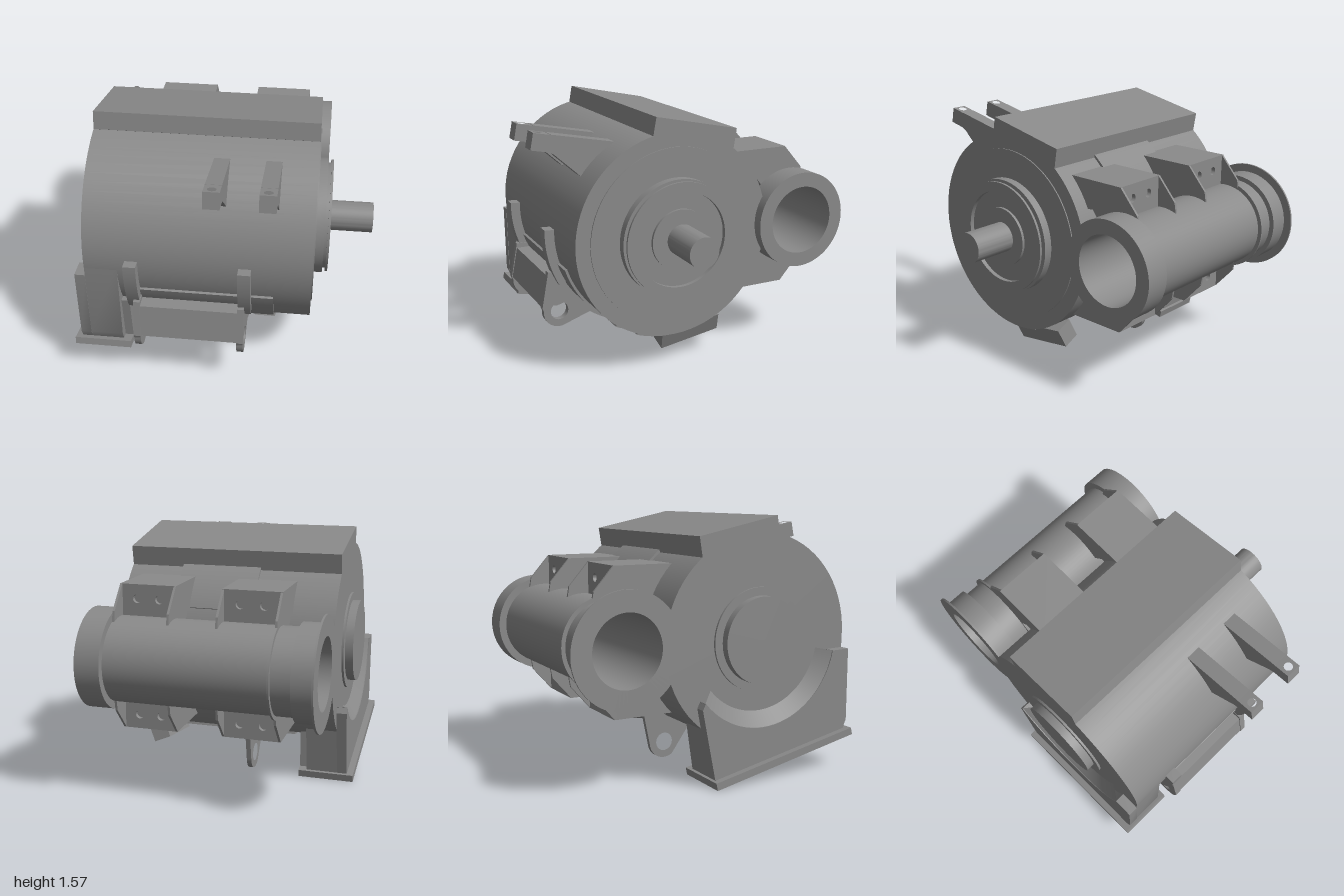
import * as THREE from 'three';
import { toCreasedNormals } from 'three/addons/utils/BufferGeometryUtils.js';

const AXIS_Y = 0.85, BODY_Z = 0.2, TUBE_Z = -0.66;

export function createModel() {
  const model = new THREE.Group();
  const material = new THREE.MeshStandardMaterial({ color: 0x8a8a8a });

  function add(name, geometry, x = 0, y = 0, z = 0) {
    const mesh = new THREE.Mesh(toCreasedNormals(geometry, 0.5), material);
    mesh.name = name;
    mesh.position.set(x, y, z);
    model.add(mesh);
    return mesh;
  }

  // Points on an arc, as [z, y]
  function arc(cz, cy, r, a0, a1, n = 20) {
    return Array.from({ length: n + 1 }, (_, i) => {
      const a = a0 + (a1 - a0) * i / n;
      return [cz + r * Math.cos(a), cy + r * Math.sin(a)];
    });
  }

  // Side profile given as [z, y], extruded along x; optional hole [z, y, r]
  function side(name, points, x0, x1, hole) {
    const shape = new THREE.Shape(points.map(([z, y]) => new THREE.Vector2(-z, y)));
    if (hole) {
      const path = new THREE.Path();
      path.absarc(-hole[0], hole[1], hole[2], 0, Math.PI * 2, true);
      shape.holes.push(path);
    }
    const geometry = new THREE.ExtrudeGeometry(shape, { depth: x1 - x0, bevelEnabled: false, curveSegments: 16 });
    geometry.rotateY(Math.PI / 2);
    return add(name, geometry, x0);
  }

  // Profile [radius, x] turned around an axis parallel to x
  function turned(name, points, z, start = 0, length = Math.PI * 2) {
    const geometry = new THREE.LatheGeometry(points.map(([r, x]) => new THREE.Vector2(r, x)), 72, start, length);
    geometry.rotateZ(-Math.PI / 2);
    return add(name, geometry, 0, AXIS_Y, z);
  }

  // Curved strap hugging the body
  function strap(name, r, a0, a1, x0, x1) {
    side(name, [...arc(BODY_Z, AXIS_Y, r, a0, a1), ...arc(BODY_Z, AXIS_Y, 0.6, a1, a0)], x0, x1);
  }

  // Motor housing with bearing covers
  turned('housing', [
    [0, -0.86], [0.26, -0.86], [0.26, -0.81], [0.31, -0.81], [0.31, -0.797], [0.63, -0.797],
    [0.63, 0.54], [0.54, 0.54], [0.54, 0.547], [0.36, 0.547], [0.36, 0.598], [0.33, 0.598],
    [0.33, 0.616], [0.35, 0.616], [0.35, 0.63], [0.29, 0.63], [0.29, 0.603], [0.185, 0.603],
    [0.185, 0.62], [0, 0.62]], BODY_Z);
  turned('shaft', [[0, 0.6], [0.094, 0.6], [0.094, 0.893], [0, 0.893]], BODY_Z - 0.005);
  side('topCover', [[0.34, 1.465], [0.32, 1.573], [-0.21, 1.463], [-0.19, 1.34], [0.1, 1.2]], -0.797, 0.54);

  // Hollow axle tube with end collars
  turned('axleTube', [
    [0.215, -0.797], [0.34, -0.797], [0.34, -0.785], [0.29, -0.785], [0.29, -0.66], [0.26, -0.66],
    [0.26, -0.54], [0.285, -0.54], [0.285, -0.528], [0.26, -0.528], [0.26, 0.45],
    [0.305, 0.45], [0.305, 0.605], [0.215, 0.605], [0.215, -0.797]], TUBE_Z);

  // Clamp blocks joining tube and housing, above and below
  for (const [x0, x1] of [[-0.54, -0.18], [0.1, 0.45]]) {
    for (const s of [1, -1]) {
      const mirror = pts => pts.map(([z, dy]) => [z, AXIS_Y + s * dy]);
      side('clampBlock', mirror([[-0.22, 0.447], [-0.595, 0.447], [-0.595, 0.22], [-0.48, 0.18],
        [-0.41, 0.27], [-0.2, 0.25]]), x0, x1);
      for (const x of [x0, x1 - 0.014]) {
        side('clampGusset', mirror([[-0.61, 0.447], [-0.62, 0.447], [-0.745, 0.305], [-0.76, 0.22], [-0.61, 0.22]]), x, x + 0.014);
      }
      const face = new THREE.Shape();
      const low = AXIS_Y + (s > 0 ? 0.22 : -0.447);
      face.moveTo(x0, low).lineTo(x1, low).lineTo(x1, low + 0.227).lineTo(x0, low + 0.227);
      for (const t of [0.3, 0.7]) {
        const hole = new THREE.Path();
        hole.absarc(x0 + (x1 - x0) * t, AXIS_Y + s * 0.36, 0.026, 0, Math.PI * 2, true);
        face.holes.push(hole);
      }
      add('clampFace', new THREE.ExtrudeGeometry(face, { depth: 0.03, bevelEnabled: false }), 0, 0, -0.622);
    }
  }
  strap('rearPad', 0.645, 2.2, 2.7, -0.3, 0.2);

  // Two lifting arms with drilled tips
  for (const x of [-0.06, 0.24]) {
    side('liftingArm', [[0.88, 1.485], [0.9, 1.385], [0.865, 1.37], [0.7, 1.22], [0.45, 1.15], [0.45, 1.4]], x, x + 0.093);
    const tip = new THREE.Shape();
    tip.moveTo(0, 0).lineTo(0.093, 0).lineTo(0.093, -0.105).lineTo(0, -0.105);
    const hole = new THREE.Path();
    hole.absarc(0.046, -0.065, 0.026, 0, Math.PI * 2, true);
    tip.holes.push(hole);
    const geometry = new THREE.ExtrudeGeometry(tip, { depth: 0.1, bevelEnabled: false });
    geometry.rotateX(-Math.PI / 2);
    add('armTip', geometry, x, 1.385, 0.897).rotation.x = -0.2;
  }

  // Mounting foot: sloping base plate, pedestal and chamfered cradle
  side('basePlate', [[0.84, 0.253], [0.85, 0.21], [-0.14, 0.005], [-0.15, 0.05]], -0.9, -0.55);
  side('pedestalEnd', [[0.8, 0.23], [0.83, 0.3], [0.83, 0.75],
    ...arc(BODY_Z, AXIS_Y, 0.52, -0.2, -2.45, 28), [-0.22, 0.48], [-0.13, 0.04]], -0.86, -0.797);
  side('pedestal', [[0.8, 0.23], [0.828, 0.3], [0.828, 0.85], [0.6, 0.85], [0.2, 0.4], [-0.2, 0.5], [-0.13, 0.04]], -0.797, -0.6);
  side('pedestalRib', [[0.76, 0.23], [0.79, 0.54], [0.5, 0.5], [-0.1, 0.4], [-0.1, 0.05]], -0.6, -0.55);
  turned('cradleChamfer', [[0.43, -0.797], [0.525, -0.858], [0.525, -0.797]], BODY_Z, 0.2, 2.25);
  side('footTab', [[0.47, 0.25], [0.47, 0.155], [0.34, 0.128], [0.32, 0.25]], -0.56, -0.51);

  // Front straps, eye plates and sloping panel
  for (const [x0, x1, p0] of [[-0.55, -0.475, -0.51], [0.115, 0.19, 0.112]]) {
    strap('frontStrap', 0.69, 0.045, -0.5, x0, x1);
    strap('lowerStrap', 0.68, -0.5, -1.25, p0, p0 + 0.04);
    side('frontEyePlate', [[0.6, 0.6], [0.865, 0.6], [0.91, 0.37], ...arc(0.8, 0.34, 0.102, 0.1, -2),
      [0.6, 0.3]], p0, p0 + 0.04, [0.8, 0.34, 0.057]);
  }
  side('frontPanel', [[0.7, 0.57], [0.865, 0.57], [0.905, 0.37], [0.8, 0.36], [0.65, 0.4]], -0.47, 0.112);
  strap('frontPad', 0.645, -0.3, -1.15, -0.48, 0.32);
  strap('lowerPad', 0.68, -1.12, -1.4, 0.19, 0.32);
  strap('bottomPad', 0.65, -1.2, -1.8, -0.48, 0.5);

  // Rear eye plate under the housing
  side('rearEyePlate', [[-0.2, 0.5], [-0.3, 0.41], ...arc(-0.14, 0.14, 0.102, Math.PI + 0.1, Math.PI * 1.5 + 0.6),
    [0.05, 0.24]], -0.26, -0.23, [-0.14, 0.14, 0.057]);

  // Tilted terminal box near the shaft end
  const box = add('terminalBox', new THREE.BoxGeometry(0.115, 0.13, 0.4), 0.403, 0.195, 0.05);
  box.rotation.set(0.15, 0, -0.4);

  return model;
}
